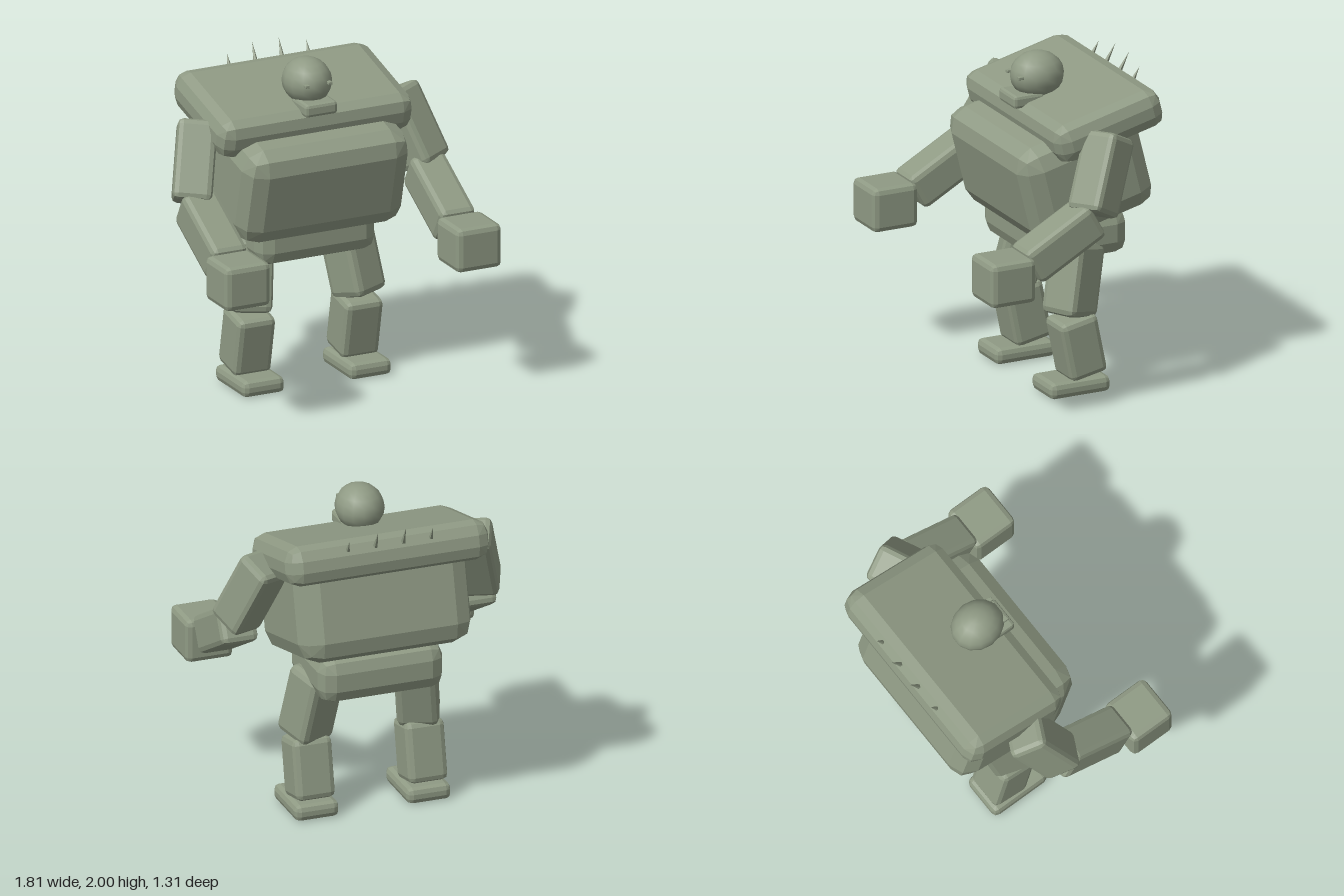
import * as THREE from 'three';
import { ConvexGeometry } from 'three/addons/geometries/ConvexGeometry.js';

const stone = new THREE.MeshStandardMaterial({ color: 0x8f9a84 });
stone.name = 'mossy grey stone';

// Box with two-step rounded edges: hull of corner points pushed out along face, edge and corner directions
function blockGeometry(w, h, d, r) {
  const points = [];
  for (const sx of [-1, 1]) for (const sy of [-1, 1]) for (const sz of [-1, 1]) {
    for (let m = 1; m < 8; m++) {
      const n = new THREE.Vector3(m & 1, (m >> 1) & 1, (m >> 2) & 1).normalize();
      points.push(new THREE.Vector3(
        sx * (w / 2 - r + n.x * r),
        sy * (h / 2 - r + n.y * r),
        sz * (d / 2 - r + n.z * r)
      ));
    }
  }
  return new ConvexGeometry(points);
}

export function createModel() {
  const model = new THREE.Group();
  model.name = 'stoneGolem';

  function add(name, geometry, pos, rot = [0, 0, 0]) {
    const mesh = new THREE.Mesh(geometry, stone);
    mesh.name = name;
    mesh.position.set(...pos);
    mesh.rotation.set(...rot, 'ZXY');
    model.add(mesh);
    return mesh;
  }
  const block = (name, [w, h, d], r, pos, rot) => add(name, blockGeometry(w, h, d, r), pos, rot);

  // Same part on both sides, mirrored across x
  function pair(name, size, r, [x, y, z], [rx, ry, rz] = [0, 0, 0]) {
    for (const s of [1, -1]) {
      block((s > 0 ? 'left' : 'right') + name, size, r, [s * x, y, z], [rx, s * ry, s * rz]);
    }
  }

  // Trunk, hunched forward
  const hunch = 0.245;
  block('torso', [1.08, 0.62, 0.81], 0.125, [0, 1.335, -0.19], [hunch, 0, 0]);
  block('shoulderSlab', [1.27, 0.24, 0.715], 0.085, [0, 1.678, -0.28], [hunch, 0, 0]);
  block('pelvis', [0.78, 0.29, 0.6], 0.09, [0, 0.937, -0.22]);

  // Legs
  pair('Thigh', [0.25, 0.45, 0.25], 0.04, [0.33, 0.69, -0.172], [-0.2, 0.4, 0.13]);
  pair('Shin', [0.245, 0.37, 0.245], 0.035, [0.352, 0.285, -0.178], [0.2, 0, 0]);
  pair('Foot', [0.275, 0.1, 0.395], 0.035, [0.35, 0.05, -0.145]);

  // Arms
  pair('UpperArm', [0.235, 0.48, 0.235], 0.035, [0.705, 1.445, -0.16], [-0.39, 0.5, 0.3]);
  pair('Forearm', [0.23, 0.23, 0.49], 0.035, [0.747, 1.095, 0.14], [0.51, 0, 0]);
  pair('Hand', [0.295, 0.27, 0.295], 0.035, [0.757, 0.925, 0.508]);

  // Head
  const head = add('head', new THREE.SphereGeometry(1, 14, 10), [0, 1.86, -0.1]);
  head.scale.set(0.145, 0.14, 0.165);
  block('jaw', [0.21, 0.08, 0.2], 0.02, [0, 1.735, 0]);
  pair('Eye', [0.026, 0.018, 0.035], 0.003, [0.075, 1.876, 0.045]);

  // Spikes along the back edge of the slab, the inner two longer
  for (const [x, length] of [[-0.26, 0.12], [-0.087, 0.16], [0.087, 0.16], [0.26, 0.12]]) {
    const spike = new THREE.ConeGeometry(0.019, length, 5).toNonIndexed();
    spike.computeVertexNormals();
    spike.translate(0, length / 2, 0);
    add('backSpike', spike, [x, 1.795, -0.58], [-0.5, 0, -0.06]);
  }
  return model;
}
